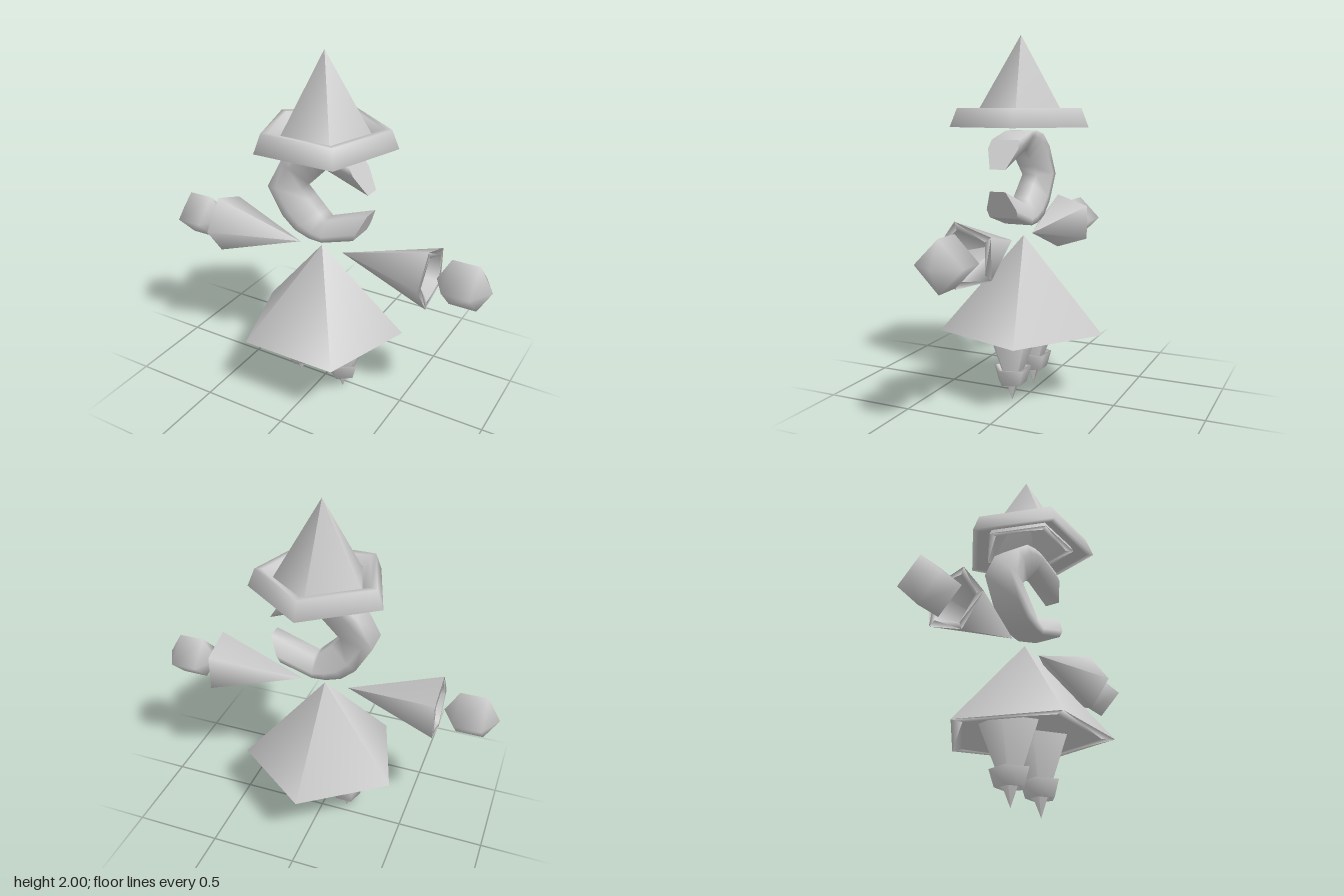
import * as THREE from 'three';

const material = new THREE.MeshStandardMaterial({ color: 0xcccccc, side: THREE.DoubleSide });
const DEPTH = 0.045; // z of the figure's central axis

function part(name, geometry, parent, x = 0, y = 0, z = DEPTH) {
  const mesh = new THREE.Mesh(geometry, material);
  mesh.name = name;
  mesh.position.set(x, y, z);
  parent.add(mesh);
  return mesh;
}

// Five-sided turned shape; the profile is a list of [radius, height]
function turned(profile, cornerAtBack = false) {
  const points = profile.map(([r, y]) => new THREE.Vector2(r, y));
  return new THREE.LatheGeometry(points, 5, cornerAtBack ? Math.PI : 0);
}

// Open crescent lofted from outer/inner point pairs, widest near its outer edge
function crescent(pairs) {
  const section = [[0, 0.08], [0.3, 0.088], [1, 0.045], [1, -0.045], [0.3, -0.088], [0, -0.08]];
  const n = section.length;
  const positions = [];
  const index = [];
  const ring = ([ox, oy, ix, iy]) => {
    for (const [t, z] of section) positions.push(ox + (ix - ox) * t, oy + (iy - oy) * t, z);
  };
  pairs.forEach(ring);
  for (let i = 0; i < pairs.length - 1; i++) {
    for (let j = 0; j < n; j++) {
      const a = i * n + j, b = i * n + (j + 1) % n;
      index.push(a, a + n, b + n, a, b + n, b);
    }
  }
  // end caps have their own vertices so that their edges stay sharp
  const start = pairs.length * n, end = start + n;
  ring(pairs[0]);
  ring(pairs[pairs.length - 1]);
  for (let j = 1; j < n - 1; j++) {
    index.push(start, start + j, start + j + 1, end, end + j + 1, end + j);
  }
  const geometry = new THREE.BufferGeometry();
  geometry.setAttribute('position', new THREE.Float32BufferAttribute(positions, 3));
  geometry.setIndex(index);
  geometry.computeVertexNormals();
  return geometry;
}

export function createModel() {
  const model = new THREE.Group();
  model.name = 'figure';

  // Hat: hollow cone standing in a dished brim
  const hat = new THREE.Group();
  hat.name = 'hat';
  model.add(hat);
  part('hatCone', turned([[0, 1.92], [0.23, 1.53], [0.275, 1.53], [0, 2]], true), hat, 0.02);
  part('hatBrim', turned([
    [0.26, 1.56], [0.35, 1.51], [0.39, 1.51], [0.35, 1.61], [0.31, 1.61], [0.26, 1.56],
  ], true), hat, 0.02);

  // Head: crescent opening to the figure's left
  part('head', crescent([
    [0.21, 1.445, 0.305, 1.295],
    [0.05, 1.487, 0.05, 1.39],
    [-0.02, 1.49, 0.02, 1.36],
    [-0.11, 1.47, -0.01, 1.33],
    [-0.2, 1.4, -0.05, 1.29],
    [-0.29, 1.235, -0.1, 1.24],
    [-0.2, 1.08, -0.05, 1.19],
    [-0.12, 1.01, -0.01, 1.15],
    [-0.03, 0.98, 0.02, 1.12],
    [0.05, 0.975, 0.05, 1.09],
    [0.24, 1.035, 0.305, 1.18],
  ]), model, 0, 0, 0.048);

  // Body: hollow skirt-like cone
  part('body', turned([[0, 0.82], [0.4, 0.39], [0.47, 0.39], [0, 0.91]], true), model, 0, 0, 0.04);

  for (const [side, s] of [['left', 1], ['right', -1]]) {
    // Arm: hollow cone pointing at the body
    const arm = part(side + 'Arm', turned([[0, 0.38], [0.135, 0], [0.177, 0], [0, 0.525]]),
      model, s * 0.66, 0.9, 0.048);
    arm.rotation.z = s * Math.PI / 2;

    // Hand: coarse ball with its poles along x
    const ball = new THREE.SphereGeometry(0.15, 4, 3).rotateZ(Math.PI / 2);
    part(side + 'Hand', ball, model, s * 0.838, 0.898, 0.043);

    // Leg: inverted cone passing through a flared cuff
    const leg = new THREE.Group();
    leg.name = side + 'Leg';
    model.add(leg);
    part('legCone', turned([[0, 0], [0.164, 0.42], [0, 0.42]]), leg, s * 0.145);
    part('footCuff', turned([
      [0.06, 0.14], [0.06, 0.1], [0.082, 0.1], [0.109, 0.19], [0.09, 0.19], [0.06, 0.14],
    ]), leg, s * 0.145);
  }

  return model;
}
